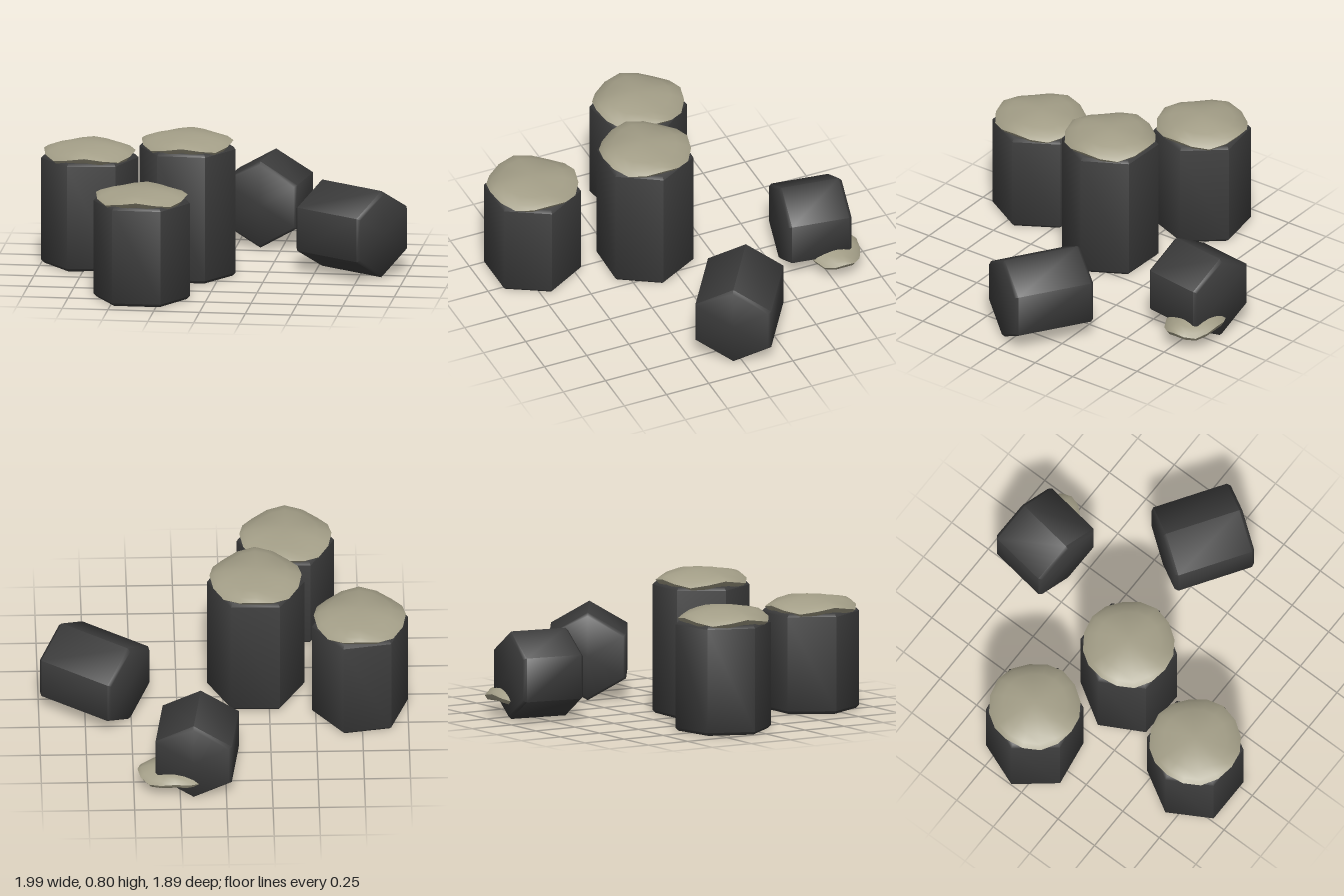
import * as THREE from 'three';
import { toCreasedNormals } from 'three/addons/utils/BufferGeometryUtils.js';

const rock = new THREE.MeshStandardMaterial({ color: 0x3b3b3b });
rock.name = 'dark basalt';
const crust = new THREE.MeshStandardMaterial({ color: 0xa39e87 });
crust.name = 'pale crust';

const lathe = (pairs, sides) =>
  new THREE.LatheGeometry(pairs.map(([r, y]) => new THREE.Vector2(r, y)), sides);

// Six-sided prism with softened rims, base at y = 0
function prismGeometry(r, h) {
  const b = 0.017;
  return lathe([[0, 0], [r - b, 0], [r, b], [r, h - b], [r - b, h], [0, h]], 6);
}

// Shallow dome whose rim rises and falls; y = 0 is the middle of the rim
function crustGeometry(radius, top, bottom, wave) {
  const g = lathe([
    [0, -bottom], [radius * 0.55, -bottom], [radius * 0.91, -bottom * 0.7], [radius, 0],
    [radius * 0.9, top * 0.32], [radius * 0.7, top * 0.62],
    [radius * 0.4, top * 0.88], [radius * 0.18, top * 0.98], [0, top],
  ], 16);
  const p = g.attributes.position;
  for (let i = 0; i < p.count; i++) {
    const x = p.getX(i), z = p.getZ(i);
    const k = Math.pow(Math.hypot(x, z) / radius, 3);
    p.setY(i, p.getY(i) + wave * k * Math.cos(4 * Math.atan2(z, x)));
  }
  return toCreasedNormals(g, 0.75);
}

function addMesh(parent, name, geometry, material) {
  const mesh = new THREE.Mesh(geometry, material);
  mesh.name = name;
  parent.add(mesh);
  return mesh;
}

export function createModel() {
  const model = new THREE.Group();
  model.name = 'basaltColumns';

  // Upright columns: x, z, stone height, turn in degrees, crust top
  const upright = [
    [-0.74, -0.11, 0.605, 39, 0.685],
    [-0.18, 0.1, 0.725, 28.5, 0.8],
    [-0.355, 0.69, 0.555, 30, 0.625],
  ];
  upright.forEach(([x, z, h, turn, top], i) => {
    const column = new THREE.Group();
    column.name = `uprightColumn${i + 1}`;
    column.position.set(x, 0, z);
    const stone = addMesh(column, 'columnStone',
      toCreasedNormals(prismGeometry(0.264, h - 0.005), 1.1), rock);
    stone.position.y = 0.005;
    stone.rotation.y = THREE.MathUtils.degToRad(turn);
    const rim = h + 0.015;
    const cap = addMesh(column, 'columnCrust', crustGeometry(0.25, top - rim, 0.035, 0.016), crust);
    cap.position.y = rim;
    model.add(column);
  });

  // Fallen blocks lying on an edge: x, z, length, direction of the axis
  const fallen = [
    [0.695, -0.07, 0.455, Math.atan2(0.38, 0.25)],
    [0.155, -0.73, 0.355, Math.atan2(-0.05, 0.35)],
  ];
  fallen.forEach(([x, z, length, turn], i) => {
    const g = prismGeometry(0.24, length);
    g.translate(0, -length / 2, 0);
    g.rotateX(Math.PI / 2);
    const block = addMesh(model, `fallenBlock${i + 1}`, toCreasedNormals(g, 1.1), rock);
    block.position.set(x, 0.245, z);
    block.rotation.y = turn;
  });

  // Broken crust wedged under the rear block
  const chip = addMesh(model, 'fallenCrust', crustGeometry(0.2, 0.055, 0.035, 0.014), crust);
  chip.position.set(0.28, 0.118, -0.8);
  chip.scale.z = 0.74;
  return model;
}
